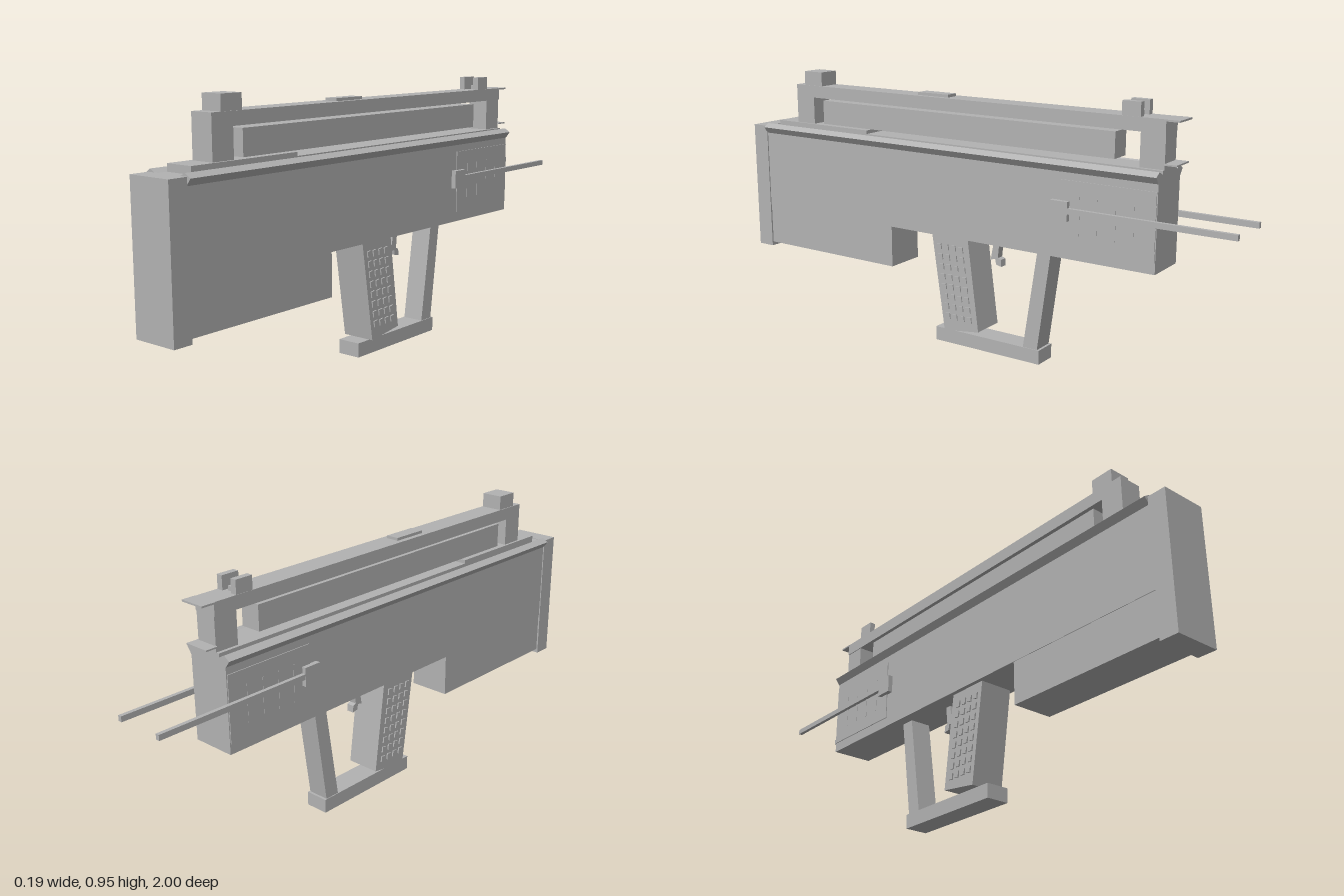
import * as THREE from 'three';

export function createModel() {
  const model = new THREE.Group();
  const grey = new THREE.MeshStandardMaterial({ color: 0xb2b2b2 });
  grey.name = 'grey metal';
  grey.side = THREE.DoubleSide;

  const add = (name, geometry) => {
    const mesh = new THREE.Mesh(geometry, grey);
    mesh.name = name;
    model.add(mesh);
    return mesh;
  };
  // Box given by its limits on each axis
  const box = (name, x0, x1, y0, y1, z0, z1) => {
    const m = add(name, new THREE.BoxGeometry(x1 - x0, y1 - y0, z1 - z0));
    m.position.set((x0 + x1) / 2, (y0 + y1) / 2, (z0 + z1) / 2);
    return m;
  };
  const shapeOf = pts => new THREE.Shape(pts.map(p => new THREE.Vector2(p[0], p[1])));
  // Side profile of [z, y] points, extruded across x
  const profile = (name, pts, halfWidth) => {
    const g = new THREE.ExtrudeGeometry(shapeOf(pts.map(([z, y]) => [-z, y])),
      { depth: halfWidth * 2, bevelEnabled: false });
    g.translate(0, 0, -halfWidth);
    g.rotateY(Math.PI / 2);
    return add(name, g);
  };

  // Receiver, fore block and front cap
  box('receiver', -0.079, 0.079, 0.415, 0.73, -0.733, 0.935);
  box('foreBlock', -0.077, 0.077, 0.262, 0.415, 0.32, 0.935);
  box('frontCap', -0.083, 0.083, 0.247, 0.732, 0.932, 1);
  box('topPlate', -0.052, 0.052, 0.725, 0.755, 0.45, 0.89);
  box('topDeck', -0.052, 0.052, 0.725, 0.742, -0.733, 0.45);

  // Carry handle
  box('handleBar', -0.043, 0.043, 0.855, 0.9, -0.733, 0.8);
  box('handleFrontPost', -0.043, 0.043, 0.74, 0.86, 0.715, 0.8);
  box('handleRearPost', -0.04, 0.04, 0.735, 0.86, -0.733, -0.648);
  box('innerBar', -0.038, 0.038, 0.758, 0.846, -0.56, 0.672);
  box('topButton', -0.024, 0.024, 0.895, 0.91, 0.1, 0.23);
  box('frontSight', -0.04, 0.04, 0.895, 0.952, 0.675, 0.76);
  box('rearSightBead', -0.008, 0.008, 0.895, 0.915, -0.635, -0.61);
  // Thin flared lips on the rear post
  box('rearUpperLip', -0.045, 0.045, 0.894, 0.9, -0.78, -0.73);
  box('rearLowerLip', -0.045, 0.045, 0.757, 0.762, -0.775, -0.73);

  // Grip, hand guard and trigger
  profile('grip', [[0.145, 0.416], [-0.01, 0.416], [-0.055, 0.077], [0.092, 0.057]], 0.063);
  box('guardBase', -0.043, 0.043, 0.003, 0.054, -0.295, 0.145);
  profile('guardStrut', [[-0.283, 0.416], [-0.335, 0.416], [-0.285, 0.05], [-0.228, 0.05]], 0.04);
  profile('trigger', [[-0.09, 0.416], [-0.112, 0.416], [-0.105, 0.35], [-0.118, 0.345],
    [-0.12, 0.32], [-0.098, 0.325], [-0.094, 0.345], [-0.075, 0.34]], 0.014);

  for (const s of [-1, 1]) {
    const side = (name, inner, outer, ...rest) =>
      box(name, Math.min(s * inner, s * outer), Math.max(s * inner, s * outer), ...rest);

    // Angled top rail
    const rail = new THREE.ExtrudeGeometry(
      shapeOf([[0.08, 0.705], [0.097, 0.728], [0.075, 0.742], [0.052, 0.73], [0.07, 0.72]].map(([x, y]) => [s * x, y])),
      { depth: 1.666, bevelEnabled: false });
    rail.translate(0, 0, -0.733);
    add('sideRail', rail);

    // Rear side panel with its ribs
    side('sidePanel', 0.078, 0.082, 0.45, 0.68, -0.73, -0.39);
    for (let i = 0; i < 4; i++) {
      const z = -0.46 - i * 0.065;
      side('panelRib', 0.081, 0.083, 0.5, 0.63, z - 0.003, z + 0.003);
    }

    // Side rod and its knob
    side('sideRod', 0.082, 0.096, 0.57, 0.589, -1, -0.42);
    side('rodKnob', 0.078, 0.097, 0.545, 0.611, -0.425, -0.36);
    side('rearSightEar', 0.02, 0.042, 0.895, 0.947, -0.647, -0.582);

    // Grip studs follow the slant of the grip
    for (let row = 0; row < 8; row++) {
      for (let col = 0; col < 4; col++) {
        const y = 0.115 + row * 0.0365;
        const z = -0.02 + (y - 0.1) * 0.143 + col * 0.031;
        side('gripStud', 0.062, 0.068, y - 0.011, y + 0.011, z - 0.009, z + 0.009).rotation.x = 0.14;
      }
    }
  }
  return model;
}
